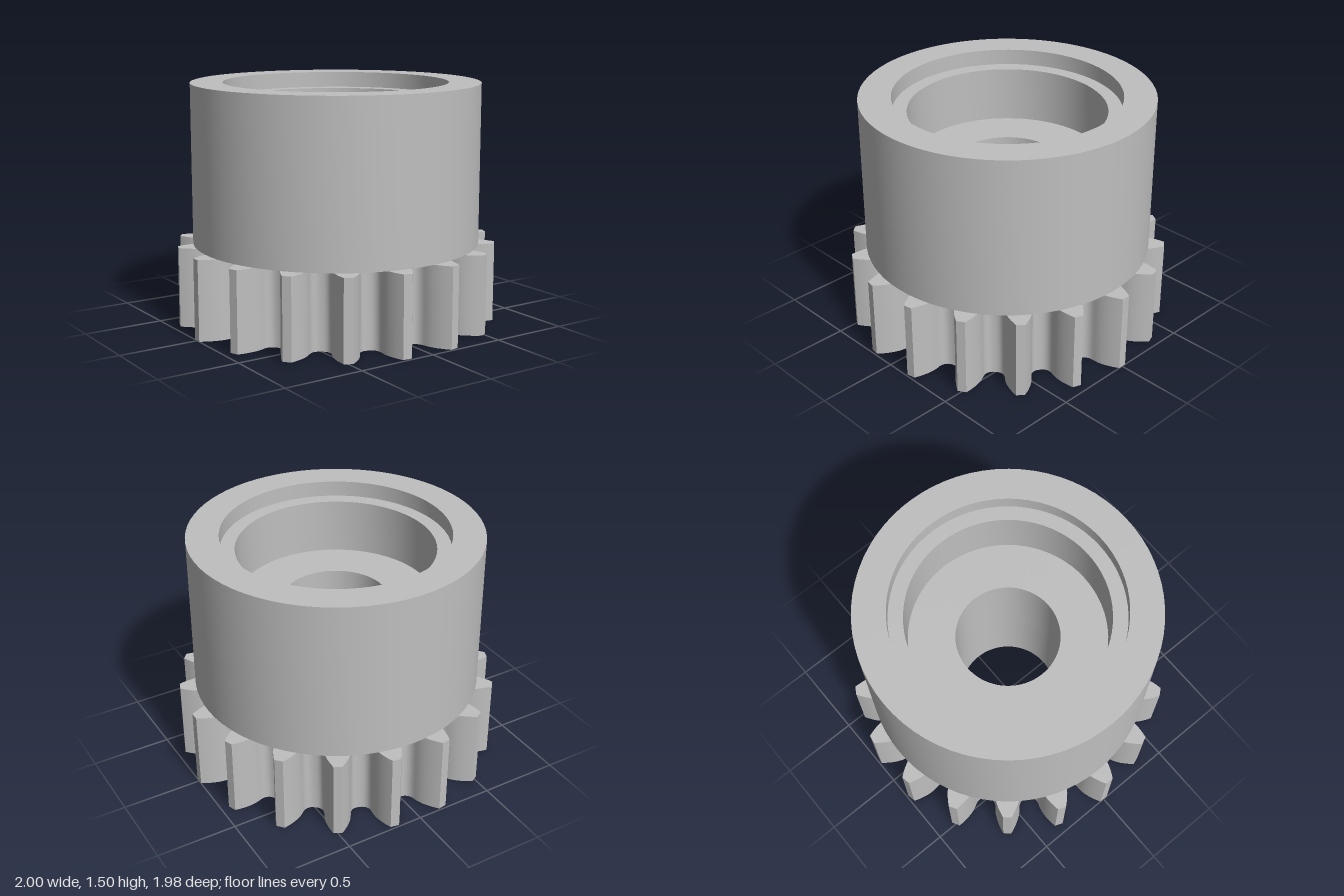
import * as THREE from 'three';
import { toCreasedNormals } from 'three/addons/utils/BufferGeometryUtils.js';

const TEETH = 18, TIP = 1, PITCH = 0.9, BASE = 0.846, BORE = 0.32;
const GEAR_TOP = 0.5;

// Half the angular width of an involute tooth at radius r
function toothHalfAngle(r) {
  const inv = (radius) => {
    const a = Math.acos(Math.min(1, BASE / radius));
    return Math.tan(a) - a;
  };
  return 0.08 + inv(PITCH) - inv(r);
}

// Gear outline: rounded root fillet, involute flank, flat tip, mirrored per tooth
function gearShape() {
  const flank = [[0.775, 0.155], [0.78, 0.134], [0.79, 0.117], [0.805, 0.104], [0.825, 0.097]];
  for (let i = 0; i <= 6; i++) {
    const r = BASE + (TIP - BASE) * (i / 6);
    flank.push([r, toothHalfAngle(r)]);
  }
  const points = [];
  for (let t = 0; t < TEETH; t++) {
    const mid = (t / TEETH) * Math.PI * 2;
    const add = (r, a) => points.push(new THREE.Vector2(r * Math.cos(mid + a), r * Math.sin(mid + a)));
    flank.forEach(([r, a]) => add(r, -a));
    [...flank].reverse().forEach(([r, a]) => add(r, a));
  }
  const shape = new THREE.Shape(points);
  shape.holes.push(new THREE.Path().absarc(0, 0, BORE, 0, Math.PI * 2, true));
  return shape;
}

export function createModel() {
  const steel = new THREE.MeshStandardMaterial({ color: 0xbfbfbf });
  steel.name = 'grey steel';
  const group = new THREE.Group();
  group.name = 'pinionWithHub';

  // Toothed ring standing on the ground
  const gearGeometry = new THREE.ExtrudeGeometry(gearShape(), {
    depth: GEAR_TOP, bevelEnabled: false, curveSegments: 72,
  });
  gearGeometry.rotateX(-Math.PI / 2);
  const gear = new THREE.Mesh(toCreasedNormals(gearGeometry, 0.5), steel);
  gear.name = 'gear';
  group.add(gear);

  // Hub with a stepped recess and a through bore
  const profile = [
    [0.775, GEAR_TOP], [0.9, GEAR_TOP], [0.9, 1.5], [0.7, 1.5], [0.7, 1.4],
    [0.61, 1.4], [0.61, 1.05], [BORE, 1.05], [BORE, GEAR_TOP],
  ].map(([r, y]) => new THREE.Vector2(r, y));
  const hub = new THREE.Mesh(toCreasedNormals(new THREE.LatheGeometry(profile, 72), 0.5), steel);
  hub.name = 'hub';
  group.add(hub);

  return group;
}
